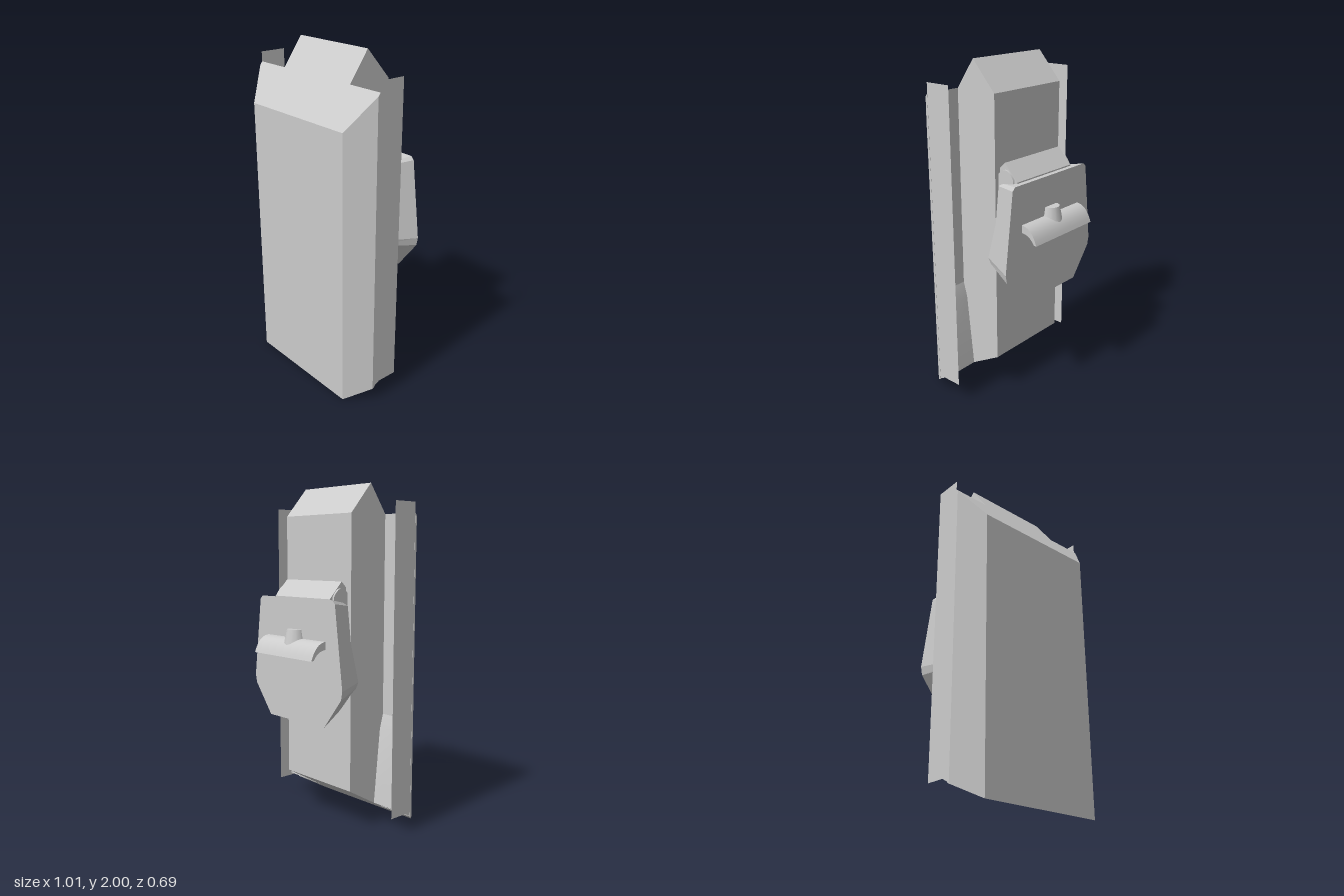
import * as THREE from 'three';
import { toCreasedNormals } from 'three/addons/utils/BufferGeometryUtils.js';

const flat = new THREE.MeshStandardMaterial({ color: 0xcccccc, flatShading: true, side: THREE.DoubleSide });
const smooth = new THREE.MeshStandardMaterial({ color: 0xcccccc, side: THREE.DoubleSide });

const shapeOf = (pts) => new THREE.Shape(pts.map(([x, y]) => new THREE.Vector2(x, y)));
const mirrored = (half) => [...half, ...half.map(([x, y]) => [-x, y]).reverse()];

// Plan outline (x, z) raised between a sloping floor and a sloping roof
function slopedBlock(half, floor, roof) {
  const shape = shapeOf(mirrored(half).map(([x, z]) => [x, -z]));
  const geo = new THREE.ExtrudeGeometry(shape, { depth: 1, bevelEnabled: false });
  geo.rotateX(-Math.PI / 2);
  const p = geo.attributes.position;
  for (let i = 0; i < p.count; i++) {
    const z = p.getZ(i);
    p.setY(i, p.getY(i) > 0.5 ? roof(z) : floor(z));
  }
  geo.computeVertexNormals();
  return geo;
}

// Side profile (z, y) extruded across x, centred on cx
function across(shape, width, cx = 0) {
  const geo = new THREE.ExtrudeGeometry(shape, { depth: width, bevelEnabled: false, curveSegments: 8 });
  geo.translate(0, 0, -width / 2);
  geo.rotateY(-Math.PI / 2);
  geo.translate(cx, 0, 0);
  return toCreasedNormals(geo, 0.6);
}

export function createModel() {
  const model = new THREE.Group();
  const add = (name, geo, mat = flat) => {
    const mesh = new THREE.Mesh(geo, mat);
    mesh.name = name;
    model.add(mesh);
    return mesh;
  };

  // Main slab: chamfered front with thin wings, and a narrower spine behind
  const floor = (z) => (0.345 - z) * 0.58;
  const frontRoof = (z) => 1.63 + (0.345 - z) * 1.396;
  const rearRoof = (z) => 2 - (0.08 - z) * 1.13;
  add('frontShell', slopedBlock(
    [[0.39, 0.345], [0.505, 0.213], [0.505, 0.2], [0.28, 0.2], [0.28, 0.08]], floor, frontRoof));
  add('rearSpine', slopedBlock([[0.28, 0.08], [0.28, -0.07]], floor, rearRoof));

  for (const s of [1, -1]) {
    const side = s > 0 ? 'left' : 'right';
    // Upright side rail
    const rail = add(side + 'Rail', new THREE.PlaneGeometry(0.16, 1.78));
    rail.rotation.y = s * Math.PI / 2;
    rail.position.set(s * 0.504, 1.0, 0.12);
    // Thickened pad low on the back of each wing
    add(side + 'WingPad', across(
      shapeOf([[0.205, 0.085], [0.205, 0.68], [0.175, 0.57], [0.13, 0.125]]), 0.225, s * 0.39), smooth);
  }

  // Tapered shield: lofted from a small front ring to a large back ring
  const backRing = mirrored([[0.31, 1.36], [0.33, 1.34], [0.39, 0.87], [0.38, 0.82], [0.24, 0.64]]);
  const frontRing = mirrored([[0.21, 1.32], [0.222, 1.31], [0.276, 0.88], [0.268, 0.85], [0.17, 0.735]]);
  const shield = new THREE.ExtrudeGeometry(shapeOf(backRing), { depth: 0.24, bevelEnabled: false });
  shield.translate(0, 0, -0.24);
  const p = shield.attributes.position;
  for (let i = 0; i < p.count; i++) {
    if (p.getZ(i) < -0.1) continue;
    const k = backRing.findIndex(([x, y]) => Math.hypot(x - p.getX(i), y - p.getY(i)) < 1e-3);
    p.setXY(i, ...frontRing[k]);
  }
  shield.computeVertexNormals();
  add('backShield', shield);

  // Hinge bar on top of the shield, with rounded ends
  add('hingeBar', across(shapeOf(
    [[-0.06, 1.28], [-0.06, 1.41], [-0.105, 1.455], [-0.195, 1.36], [-0.195, 1.3]]), 0.48), smooth);
  const cap = new THREE.Shape();
  cap.moveTo(-0.07, 1.28);
  cap.lineTo(-0.07, 1.39);
  cap.quadraticCurveTo(-0.125, 1.455, -0.175, 1.37);
  cap.lineTo(-0.175, 1.3);
  add('hingeCaps', across(cap, 0.505), smooth);

  // Curved grip and the stub it hangs from
  const grip = new THREE.Shape();
  grip.moveTo(-0.235, 1.13);
  grip.quadraticCurveTo(-0.31, 1.13, -0.343, 1.03);
  grip.lineTo(-0.325, 1.033);
  grip.quadraticCurveTo(-0.295, 1.085, -0.235, 1.085);
  add('grip', across(grip, 0.51), smooth);
  const stub = add('gripStub', new THREE.CylinderGeometry(0.052, 0.073, 0.1, 14), smooth);
  stub.position.set(0, 1.13, -0.24);

  return model;
}
